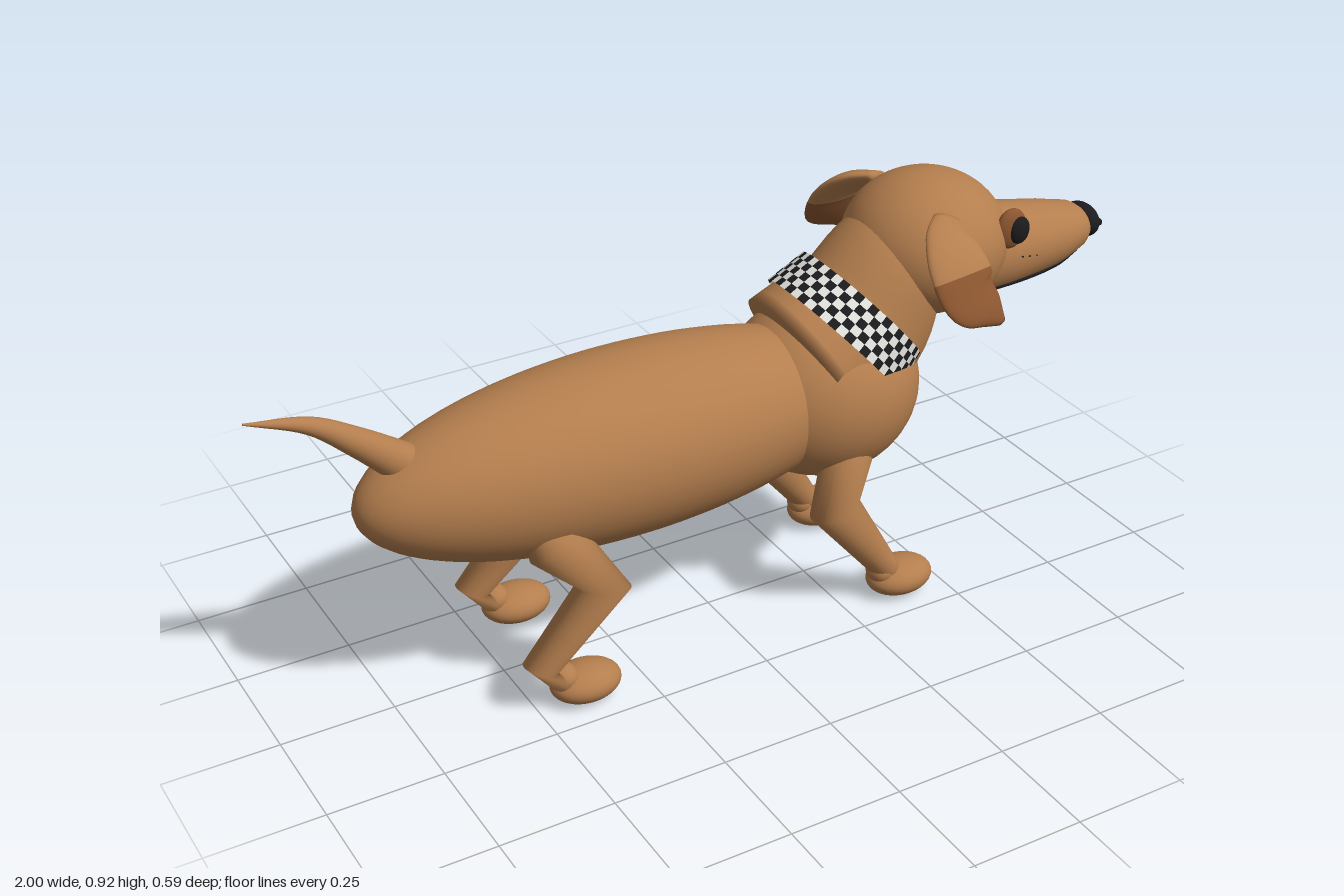
import * as THREE from 'three';

const mat = (name, color) => {
  const m = new THREE.MeshStandardMaterial({ color });
  m.name = name;
  return m;
};
const V = (x, y, z) => new THREE.Vector3(x, y, z);

export function createModel() {
  const coat = mat('tan coat', 0xb47e4e);
  const dark = mat('dark brown', 0x8c5630);
  const black = mat('black', 0x1c1c1e);
  const white = mat('white', 0xe6e6e2);
  const blue = mat('blue', 0x2f8ab8);
  const dog = new THREE.Group();
  dog.name = 'dog';

  const add = (name, geometry, material) => {
    const m = new THREE.Mesh(geometry, material);
    m.name = name;
    dog.add(m);
    return m;
  };
  const ball = (name, material, p, r, seg = 32) => {
    const m = add(name, new THREE.SphereGeometry(1, seg, Math.round(seg * 0.7)), material);
    m.position.set(...p);
    m.scale.set(...r);
    return m;
  };

  // Sweeps an ellipse through sections [x, y, z, radius across, radius sideways].
  // smooth = samples per span (1 keeps the sections as given).
  function sweep(sections, { smooth = 6, side = V(0, 0, 1), seg = 32, split = 0 } = {}) {
    const centres = new THREE.CatmullRomCurve3(sections.map(s => V(s[0], s[1], s[2])));
    const radii = new THREE.CatmullRomCurve3(sections.map(s => V(s[3], s[4], 0)));
    const n = (sections.length - 1) * smooth;
    const c = [], r = [], pos = [], idx = [];
    for (let i = 0; i <= n; i++) {
      c.push(centres.getPoint(i / n));
      r.push(radii.getPoint(i / n));
    }
    for (let i = 0; i <= n; i++) {
      const f = c[Math.min(n, i + 1)].clone().sub(c[Math.max(0, i - 1)]).normalize();
      const u = side.clone().cross(f).normalize();
      const v = f.clone().cross(u);
      for (let j = 0; j < seg; j++) {
        const a = j / seg * Math.PI * 2;
        const p = c[i].clone().addScaledVector(u, Math.cos(a) * r[i].x)
          .addScaledVector(v, Math.sin(a) * r[i].y);
        pos.push(p.x, p.y, p.z);
      }
    }
    for (let i = 0; i < n; i++) for (let j = 0; j < seg; j++) {
      const a = i * seg + j, b = i * seg + (j + 1) % seg;
      idx.push(a, b, a + seg, b, b + seg, a + seg);
    }
    // closed ends
    pos.push(...c[0].toArray(), ...c[n].toArray());
    const e = (n + 1) * seg;
    for (let j = 0; j < seg; j++) {
      const k = (j + 1) % seg;
      idx.push(n * seg + j, n * seg + k, e + 1);
    }
    for (let j = 0; j < seg; j++) idx.unshift(e, (j + 1) % seg, j);
    const g = new THREE.BufferGeometry();
    g.setAttribute('position', new THREE.Float32BufferAttribute(pos, 3));
    g.setIndex(idx);
    g.computeVertexNormals();
    if (split) {
      const cut = seg * 3 + Math.round(n * split) * seg * 6;
      g.addGroup(0, cut, 0);
      g.addGroup(cut, idx.length - cut, 1);
    }
    return g;
  }

  // Trunk, chest, neck and head
  ball('body', coat, [-0.2, 0.484, 0], [0.6, 0.2, 0.198], 56);
  ball('chest', coat, [0.28, 0.484, 0], [0.22, 0.2, 0.2], 48);
  add('neck', sweep([
    [0.24, 0.54, 0, 0.19, 0.17], [0.367, 0.622, 0, 0.174, 0.155],
    [0.445, 0.735, 0, 0.13, 0.138], [0.52, 0.79, 0, 0.1, 0.11],
  ], { seg: 48 }), coat);
  ball('skull', coat, [0.535, 0.765, 0], [0.182, 0.157, 0.178], 48);
  add('muzzle', sweep([
    [0.55, 0.72, 0, 0.09, 0.11], [0.66, 0.715, 0, 0.105, 0.105], [0.72, 0.708, 0, 0.099, 0.1],
    [0.86, 0.703, 0, 0.077, 0.082], [0.94, 0.708, 0, 0.052, 0.062], [0.972, 0.71, 0, 0.025, 0.035],
  ]), coat);
  ball('nose', black, [0.968, 0.712, 0], [0.032, 0.038, 0.053]);

  // Tail
  add('tail', sweep([
    [-0.67, 0.56, 0, 0.045, 0.042], [-0.78, 0.65, 0, 0.03, 0.029],
    [-0.87, 0.712, 0, 0.018, 0.018], [-0.998, 0.752, 0, 0.002, 0.002],
  ]), coat);

  for (const s of [1, -1]) {
    const tag = s > 0 ? 'right' : 'left';

    // Legs with bent joints, and rounded paws
    add(tag + 'FrontLeg', sweep([
      [0.29, 0.41, 0.12 * s, 0.03, 0.03], [0.27, 0.375, 0.13 * s, 0.058, 0.05],
      [0.22, 0.27, 0.162 * s, 0.057, 0.05], [0.35, 0.085, 0.165 * s, 0.032, 0.034],
      [0.375, 0.05, 0.165 * s, 0.025, 0.03],
    ], { smooth: 1 }), coat);
    add(tag + 'HindLeg', sweep([
      [-0.46, 0.42, 0.12 * s, 0.03, 0.03], [-0.435, 0.385, 0.13 * s, 0.064, 0.052],
      [-0.34, 0.262, 0.162 * s, 0.06, 0.05], [-0.492, 0.11, 0.165 * s, 0.038, 0.036],
      [-0.43, 0.05, 0.165 * s, 0.028, 0.032],
    ], { smooth: 1 }), coat);
    for (const [name, x] of [['FrontPaw', 0.395], ['HindPaw', -0.39]]) {
      ball(tag + name, coat, [x, 0.044, 0.165 * s], [0.079, 0.041, 0.059]);
      ball(tag + name + 'Ankle', coat, [x - 0.05, 0.072, 0.165 * s], [0.032, 0.03, 0.034], 20);
    }

    // Folded ear, darker on the hanging flap
    add(tag + 'Ear', sweep([
      [0.5, 0.872, 0.125 * s, 0.03, 0.012], [0.475, 0.85, 0.18 * s, 0.06, 0.018],
      [0.465, 0.81, 0.225 * s, 0.072, 0.018], [0.475, 0.76, 0.255 * s, 0.074, 0.017],
      [0.512, 0.722, 0.272 * s, 0.045, 0.016], [0.538, 0.692, 0.28 * s, 0.012, 0.012],
    ], { side: V(0, 0.6, 0.8 * s), split: 0.45 }), [coat, dark]);

    // Eye
    ball(tag + 'Eyelid', dark, [0.672, 0.808, 0.124 * s], [0.038, 0.046, 0.018], 24);
    ball(tag + 'Eye', black, [0.684, 0.807, 0.139 * s], [0.025, 0.031, 0.011], 24);

    // Nostril, mouth line and whisker spots
    ball(tag + 'Nostril', black, [0.99, 0.712, 0.033 * s], [0.009, 0.009, 0.01], 12);
    const lip = new THREE.CatmullRomCurve3([
      V(0.62, 0.648, 0.077 * s), V(0.72, 0.646, 0.079 * s), V(0.86, 0.649, 0.059 * s),
      V(0.93, 0.661, 0.037 * s),
    ]);
    add(tag + 'MouthLine', new THREE.TubeGeometry(lip, 24, 0.004, 6), black);
    for (let i = 0; i < 4; i++)
      ball(tag + 'WhiskerSpot', black, [0.73 + i * 0.022, 0.717 - i * 0.005, (0.1 - i * 0.004) * s],
        [0.003, 0.002, 0.003], 6);
  }

  // Checked collar: a slightly conical band around the tilted neck axis
  const axis = V(0.755, 0.655, 0).normalize(), up = V(-axis.y, axis.x, 0), out = V(0, 0, 1);
  const rows = 5, cols = 52;
  const at = (i, j) => {
    const t = i / rows, a = j / cols * Math.PI * 2;
    return V(0.345, 0.62, 0).addScaledVector(axis, (t - 0.5) * 0.094)
      .addScaledVector(up, Math.cos(a) * (0.19 - 0.02 * t))
      .addScaledVector(out, Math.sin(a) * (0.177 - 0.015 * t));
  };
  const checks = [[], []];
  for (let i = 0; i < rows; i++) for (let j = 0; j < cols; j++) {
    const a = at(i, j), b = at(i, j + 1), c = at(i + 1, j), d = at(i + 1, j + 1);
    for (const p of [a, b, c, b, d, c]) checks[(i + j) % 2].push(p);
  }
  [black, white].forEach((m, k) => {
    m.side = THREE.DoubleSide;
    const g = new THREE.BufferGeometry().setFromPoints(checks[k]);
    g.computeVertexNormals();
    add(k ? 'collarWhiteChecks' : 'collarBlackChecks', g, m);
  });

  // Bone-shaped tag on a bead
  ball('tagBead', white, [0.484, 0.436, 0], [0.008, 0.011, 0.01], 16);
  const bar = add('tagBar', new THREE.CylinderGeometry(0.009, 0.009, 0.06, 16), blue);
  bar.rotation.x = Math.PI / 2;
  bar.position.set(0.484, 0.407, 0);
  for (const s of [1, -1]) for (const t of [1, -1])
    ball('tagKnob', blue, [0.484, 0.407 + t * 0.008, 0.031 * s], [0.009, 0.011, 0.015], 16);

  return dog;
}
